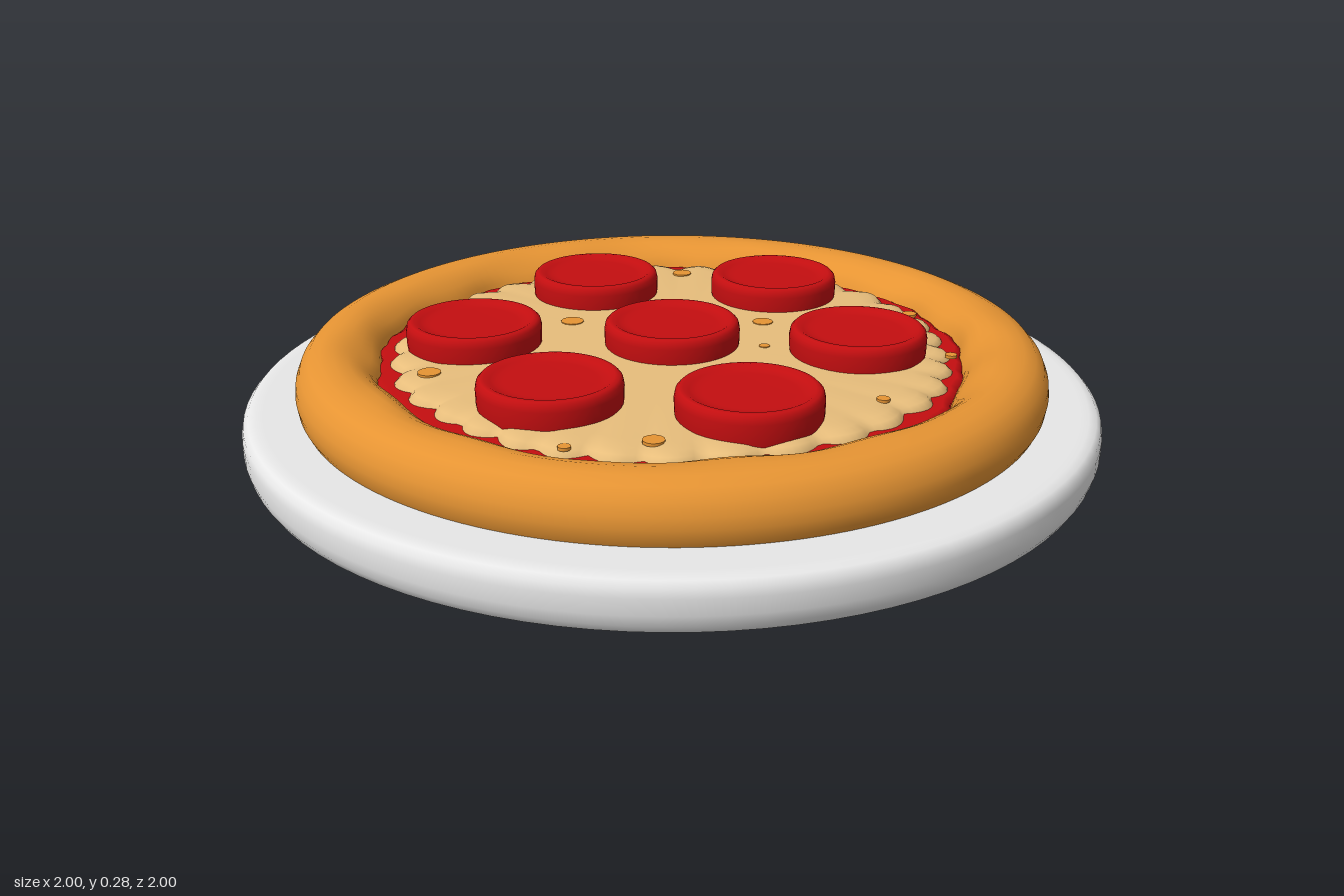
import * as THREE from 'three';

const material = (name, color) => {
  const m = new THREE.MeshStandardMaterial({ color });
  m.name = name;
  return m;
};

// Smooth closed surface of revolution; shape(row, angle) returns [radius, y],
// with rows running from the outside bottom over the top to the inside.
function revolve(rows, segments, shape) {
  const positions = [], index = [];
  for (let i = 0; i < rows; i++) {
    for (let j = 0; j < segments; j++) {
      const a = (j / segments) * Math.PI * 2;
      const [r, y] = shape(i, a);
      positions.push(r * Math.sin(a), y, r * Math.cos(a));
    }
  }
  for (let i = 0; i < rows - 1; i++) {
    for (let j = 0; j < segments; j++) {
      const k = (j + 1) % segments;
      const p = i * segments + j, q = i * segments + k;
      index.push(p, q, p + segments, q, q + segments, p + segments);
    }
  }
  const g = new THREE.BufferGeometry();
  g.setAttribute('position', new THREE.Float32BufferAttribute(positions, 3));
  g.setIndex(index);
  g.computeVertexNormals();
  return g;
}

const fromProfile = (profile, segments) => revolve(profile.length, segments, (i) => profile[i]);

// Irregular wave used for the hand-made edges
const wobble = (a) => 0.5 * Math.sin(5 * a + 1) + 0.3 * Math.sin(11 * a + 2.3) + 0.35 * Math.sin(17 * a);

export function createModel() {
  const white = material('plate white', 0xe8e8e8);
  const brown = material('baked crust', 0xe69433);
  const red = material('tomato red', 0xc40e10);
  const cream = material('melted cheese', 0xe8be7c);

  const model = new THREE.Group();
  model.name = 'pizzaOnPlate';
  const add = (name, geometry, mat, x = 0, y = 0, z = 0) => {
    const mesh = new THREE.Mesh(geometry, mat);
    mesh.name = name;
    mesh.position.set(x, y, z);
    model.add(mesh);
    return mesh;
  };

  // Plate: thick disc with a rounded rim
  add('plate', fromProfile([
    [0, 0], [0.95, 0], [0.965, 0], [0.982, 0.007], [0.993, 0.025], [1, 0.05], [1, 0.085],
    [0.996, 0.104], [0.985, 0.116], [0.968, 0.12], [0.95, 0.12], [0, 0.12],
  ], 96), white);

  // Crust: smooth outside, lumpy inner slope
  const crust = [
    [0.862, 0.115], [0.872, 0.135], [0.876, 0.16], [0.873, 0.185], [0.862, 0.212], [0.842, 0.234],
    [0.815, 0.246], [0.785, 0.25], [0.755, 0.246], [0.73, 0.234], [0.708, 0.216], [0.692, 0.195], [0.682, 0.165],
  ];
  add('crust', revolve(crust.length, 160, (i, a) => {
    const t = Math.max(0, (i - 7) / 5);
    const [r, y] = crust[i];
    return [r + 0.018 * t * wobble(a), y + 0.01 * t * (1 - t) * 4 * wobble(a + 0.4)];
  }), brown);

  // Sauce: thin layer showing as a ragged ring
  add('sauce', revolve(4, 160, (i, a) => {
    const edge = 0.692 + 0.012 * wobble(a) + 0.004 * Math.sin(43 * a);
    return [[edge, 0.165], [edge - 0.004, 0.186], [edge - 0.02, 0.194], [0, 0.196]][i];
  }), red);

  // Cheese: flat middle with a scalloped, drooping edge
  const cheese = [[1, 0.18], [0.994, 0.198], [0.975, 0.209], [0.94, 0.214], [0.88, 0.217], [0.6, 0.218], [0, 0.218]];
  add('cheese', revolve(cheese.length, 240, (i, a) => {
    const scallop = Math.abs(Math.sin(17 * a + 0.6 * Math.sin(3 * a)));
    const edge = 0.638 + 0.024 * scallop + 0.008 * wobble(a + 1);
    const [s, y] = cheese[i];
    const dip = i > 0 && i < 5 ? 0.008 * (1 - scallop) * (5 - i) / 4 : 0;
    return [s * edge, y - dip];
  }), cream);

  // Pepperoni: one slice in the middle and six around it, slightly cupped
  const slice = fromProfile([
    [0.156, 0], [0.159, 0.02], [0.16, 0.052], [0.157, 0.066], [0.15, 0.073], [0.14, 0.074],
    [0.128, 0.068], [0.115, 0.065], [0.1, 0.064], [0, 0.064],
  ], 48);
  const places = [[0, 0], [0, -0.455], [0, 0.455], [-0.385, -0.205], [0.385, -0.205], [-0.385, 0.265], [0.385, 0.265]];
  places.forEach(([x, z], i) => {
    add('pepperoni' + (i + 1), slice, red, x, 0.202, z).rotation.y = i * 1.3;
  });

  // Browned spots on the cheese: x, z, radius
  const spots = [
    [-0.29, -0.46, 0.025], [-0.21, -0.545, 0.022], [-0.04, -0.62, 0.018], [0.1, -0.245, 0.025],
    [-0.085, -0.225, 0.014], [0.3, -0.455, 0.018], [0.36, -0.52, 0.018], [0.195, -0.1, 0.013],
    [-0.285, 0.02, 0.028], [-0.52, 0.05, 0.03], [0.28, 0.03, 0.022], [0.37, 0.065, 0.027],
    [-0.035, 0.235, 0.013], [-0.33, 0.48, 0.027], [0.305, 0.5, 0.024], [0.58, 0.035, 0.015],
    [0.17, 0.62, 0.014], [0.575, -0.31, 0.014],
  ];
  spots.forEach(([x, z, r], i) => {
    const y = Math.hypot(x, z) > 0.6 ? 0.211 : 0.2165;
    add('brownedSpot' + (i + 1), new THREE.CylinderGeometry(r, r, 0.007, 12), brown, x, y, z);
  });

  return model;
}
